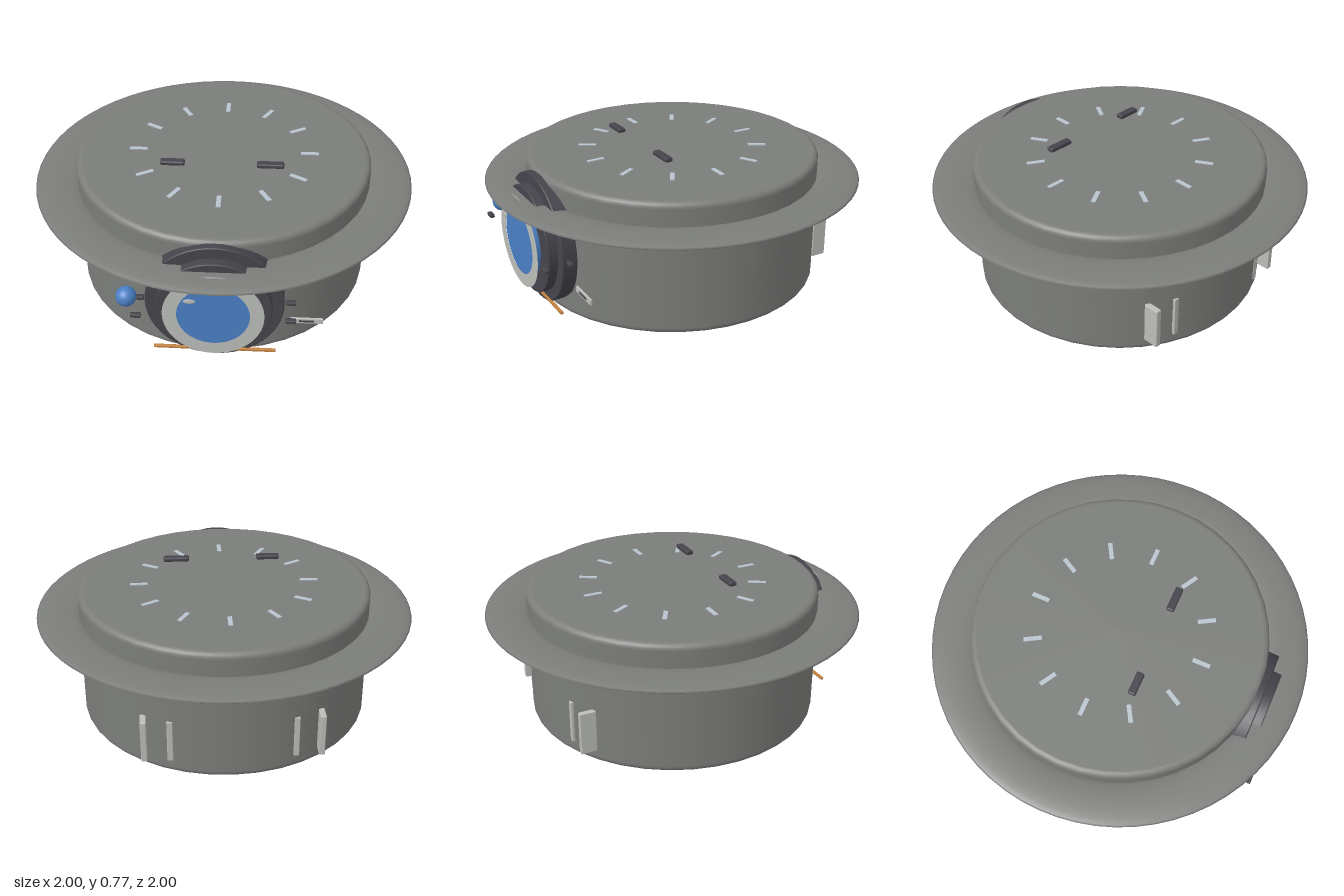
import * as THREE from 'three';
import { RoundedBoxGeometry } from 'three/addons/geometries/RoundedBoxGeometry.js';

const mat = (name, color, side = THREE.FrontSide) => {
  const m = new THREE.MeshStandardMaterial({ color, side });
  m.name = name;
  return m;
};

export function createModel() {
  const grey = mat('bodyGrey', 0x7b7d7a);
  const dark = mat('darkPlastic', 0x45444b);
  const silver = mat('silver', 0xbbbdb9, THREE.DoubleSide);
  const blue = mat('blueGlass', 0x4a7fc4);
  const pale = mat('paleBlueGrey', 0xb9c4ce);
  const copper = mat('copper', 0xc4823f);

  const model = new THREE.Group();
  const add = (name, geometry, material, x = 0, y = 0, z = 0, parent = model) => {
    const mesh = new THREE.Mesh(geometry, material);
    mesh.name = name;
    mesh.position.set(x, y, z);
    parent.add(mesh);
    return mesh;
  };
  const box = (w, h, d, r = 0.004) => new RoundedBoxGeometry(w, h, d, 2, r);

  // Turned solid with rounded rims, standing on y = 0
  const roundedDisc = (radius, height, bevel, segments) => {
    const pts = [new THREE.Vector2(0, 0), new THREE.Vector2(radius - bevel - 0.002, 0)];
    for (const [cy, start] of [[bevel, -Math.PI / 2], [height - bevel, 0]]) {
      for (let i = 0; i <= 5; i++) {
        const a = start + (i / 5) * Math.PI / 2;
        pts.push(new THREE.Vector2(radius - bevel + bevel * Math.cos(a), cy + bevel * Math.sin(a)));
      }
      if (start < 0) pts.push(new THREE.Vector2(radius, bevel + 0.002), new THREE.Vector2(radius, height - bevel - 0.002));
    }
    pts.push(new THREE.Vector2(radius - bevel - 0.002, height), new THREE.Vector2(0, height));
    return new THREE.LatheGeometry(pts, segments);
  };

  // Drum body and thin brim
  add('body', roundedDisc(0.78, 0.705, 0.03, 40), grey);
  const brim = new THREE.TorusGeometry(0.885, 0.115, 16, 64);
  brim.rotateX(Math.PI / 2).scale(1, 0.15, 1);
  add('brim', brim, grey, 0, 0.575, 0);

  // Front lens: stacked dark discs, glass and silver ring
  const lens = new THREE.Group();
  lens.name = 'lens';
  lens.position.y = 0.355;
  model.add(lens);
  add('lensBase', roundedDisc(0.34, 0.08, 0.006, 48).rotateX(Math.PI / 2), dark, 0, 0, 0.73, lens);
  add('lensStep', roundedDisc(0.282, 0.05, 0.005, 48).rotateX(Math.PI / 2), dark, 0, 0, 0.808, lens);
  add('lensGlass', new THREE.CylinderGeometry(0.184, 0.184, 0.04, 48).rotateX(Math.PI / 2), blue, 0, 0, 0.876, lens);
  add('lensRing', new THREE.RingGeometry(0.176, 0.245, 64), silver, 0, 0, 0.9, lens);
  const glint = add('lensGlint', new THREE.SphereGeometry(0.03, 20, 12), silver, -0.11, 0.11, 0.925, lens);
  glint.scale.set(1, 0.45, 0.12);

  // Small pegs beside the lens
  for (const side of [-1, 1]) {
    for (const z of [0.785, 0.912]) {
      add('lensPeg', box(0.05, 0.02, 0.024), dark, side * 0.37, 0, z, lens);
    }
  }

  // Blue ball, copper bar and slotted plate on the front
  add('blueBall', new THREE.SphereGeometry(0.051, 24, 16), blue, -0.425, 0.395, 0.826);
  add('copperBar', box(0.61, 0.015, 0.015, 0.003), copper, 0, 0.057, 0.812);
  add('slotPlate', box(0.163, 0.03, 0.012, 0.002), silver, 0.453, 0.215, 0.755);
  add('slot', new THREE.BoxGeometry(0.075, 0.01, 0.004), dark, 0.453, 0.216, 0.762);

  // Twelve dial marks on the lid
  for (let i = 0; i < 12; i++) {
    const a = (i * Math.PI) / 6;
    const mark = add('dialMark', new THREE.BoxGeometry(0.095, 0.008, 0.023), pale,
      0.455 * Math.cos(a), 0.705, 0.455 * Math.sin(a));
    mark.rotation.y = -a;
  }

  // Two dark bars hovering above the lid
  add('topBarRight', box(0.124, 0.024, 0.042, 0.008), dark, -0.252, 0.761, 0.2);
  add('topBarLeft', box(0.138, 0.024, 0.042, 0.008), dark, 0.25, 0.761, 0.2);

  // Upright fins at the back
  for (const side of [-1, 1]) {
    for (const x of [0.315, 0.445]) {
      add('backFin', box(0.03, 0.228, 0.085), silver, side * x, 0.184, -0.677);
    }
  }
  return model;
}
